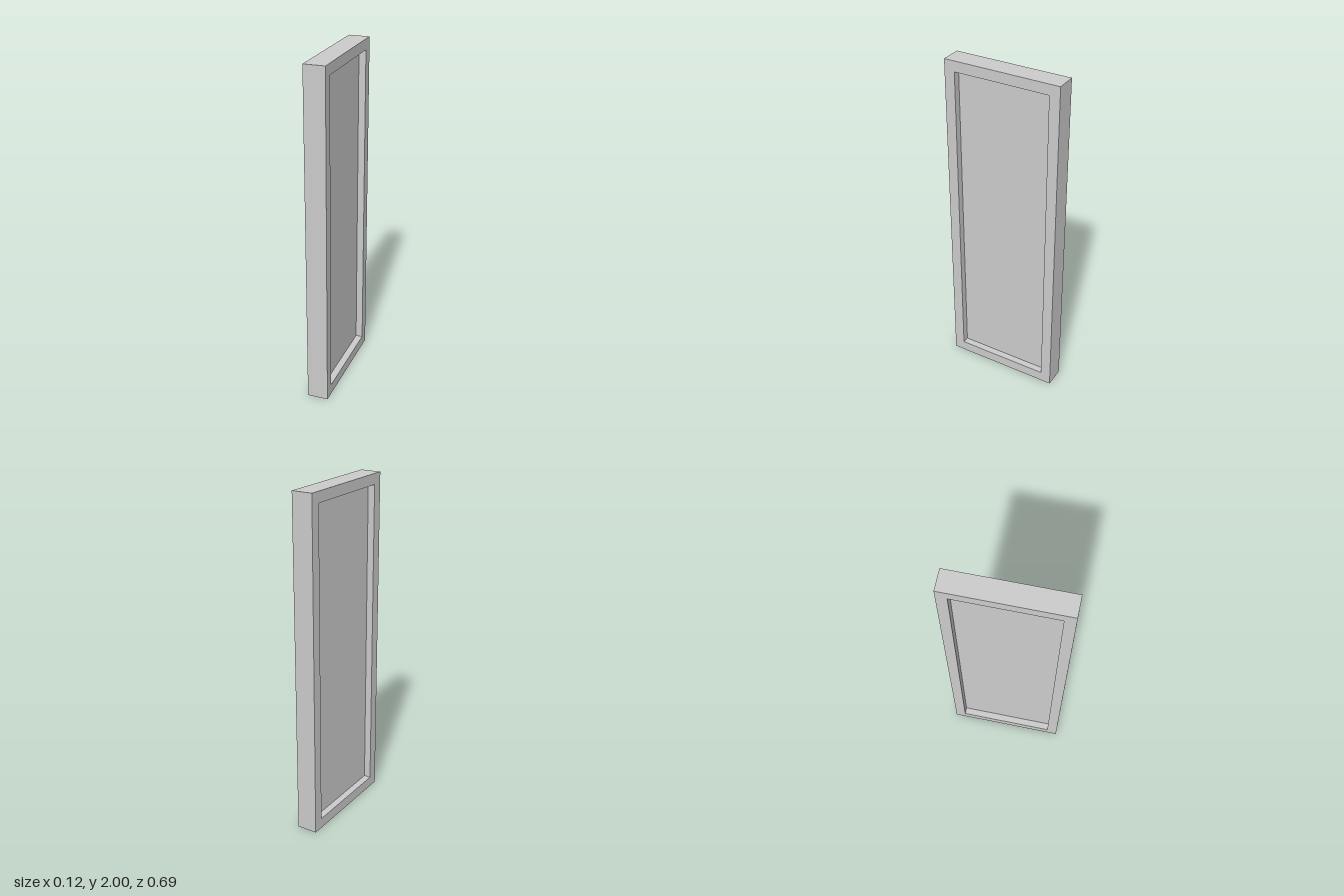
import * as THREE from 'three';

const WIDTH = 0.69, HEIGHT = 2, DEPTH = 0.123;
const BORDER = 0.062, PANEL_DEPTH = 0.041;

// Adds the corners of a rectangle to a shape or path
function rectangle(path, halfWidth, bottom, top) {
  path.moveTo(-halfWidth, bottom);
  path.lineTo(halfWidth, bottom);
  path.lineTo(halfWidth, top);
  path.lineTo(-halfWidth, top);
  path.closePath();
  return path;
}

export function createModel() {
  const model = new THREE.Group();
  model.name = 'framedPanel';
  const material = new THREE.MeshStandardMaterial({ color: 0xcccccc, flatShading: true });

  // Rectangular frame with an opening, turned to face along x
  const outline = rectangle(new THREE.Shape(), WIDTH / 2, 0, HEIGHT);
  outline.holes.push(rectangle(new THREE.Path(), WIDTH / 2 - BORDER, BORDER, HEIGHT - BORDER));
  const frameGeometry = new THREE.ExtrudeGeometry(outline, { depth: DEPTH, bevelEnabled: false });
  frameGeometry.translate(0, 0, -DEPTH / 2).rotateY(Math.PI / 2);
  const frame = new THREE.Mesh(frameGeometry, material);
  frame.name = 'frame';
  model.add(frame);

  // Thin panel filling the opening, recessed equally on both faces
  const panel = new THREE.Mesh(
    new THREE.BoxGeometry(PANEL_DEPTH, HEIGHT - 2 * BORDER, WIDTH - 2 * BORDER), material);
  panel.name = 'panel';
  panel.position.y = HEIGHT / 2;
  model.add(panel);

  return model;
}
